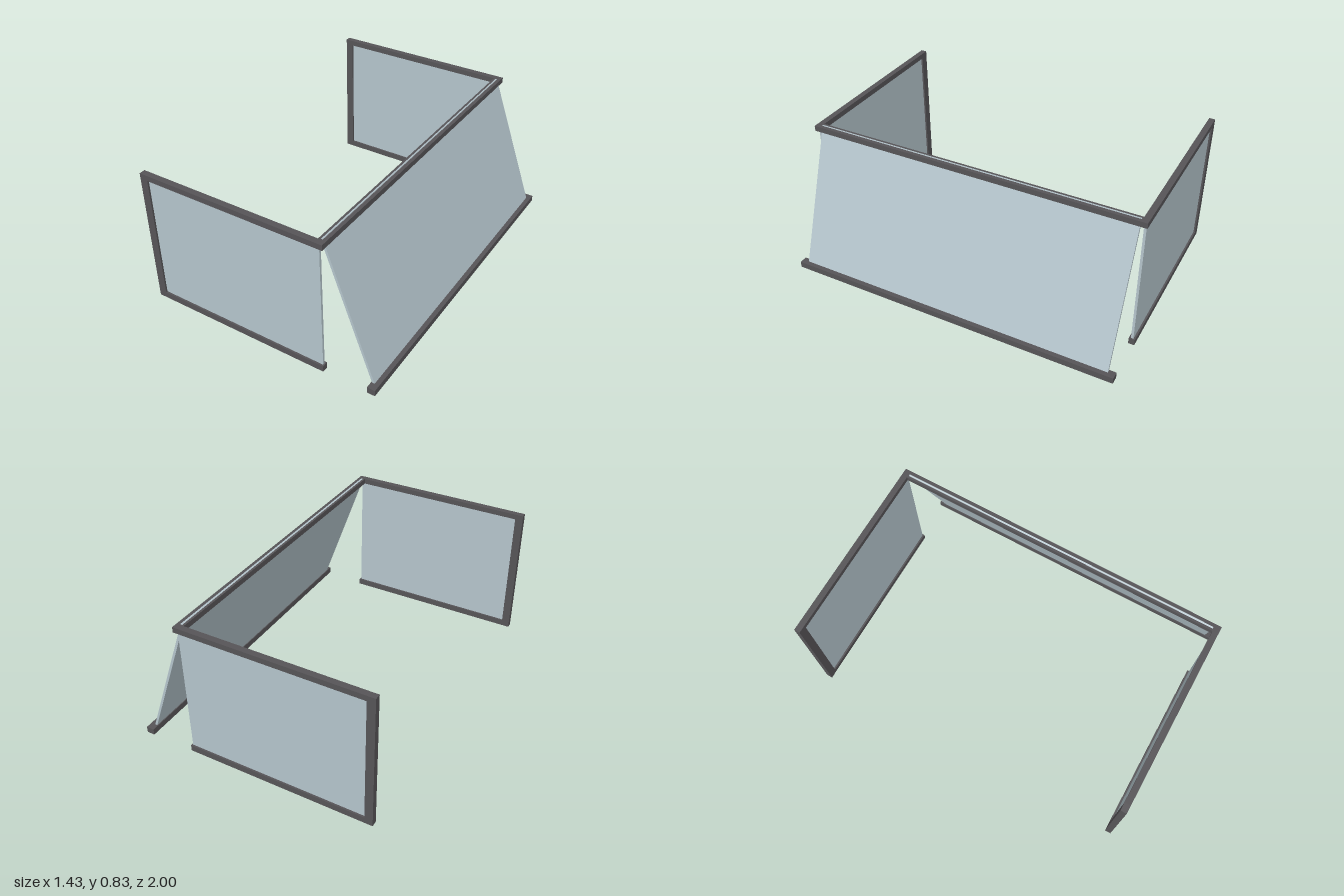
import * as THREE from 'three';

const frameMat = new THREE.MeshStandardMaterial({ color: 0x565457 });
frameMat.name = 'dark grey frame';
const glassMat = new THREE.MeshStandardMaterial({ color: 0xb4c4cb });
glassMat.name = 'pale blue glass';

// Box given by its minimum and maximum corners
function bar(name, mat, [x0, y0, z0], [x1, y1, z1]) {
  const mesh = new THREE.Mesh(new THREE.BoxGeometry(x1 - x0, y1 - y0, z1 - z0), mat);
  mesh.position.set((x0 + x1) / 2, (y0 + y1) / 2, (z0 + z1) / 2);
  mesh.name = name;
  return mesh;
}

// Upright end panel: post, two rails and a thin pane
function sidePanel(name, z) {
  const g = new THREE.Group();
  g.name = name;
  const h = 0.0175, t = 0.007;
  g.add(
    bar('post', frameMat, [-0.715, 0.004, -h], [-0.668, 0.828, h]),
    bar('topRail', frameMat, [-0.668, 0.796, -h], [0.376, 0.828, h]),
    bar('bottomRail', frameMat, [-0.668, 0.004, -h], [0.405, 0.041, h]),
    bar('pane', glassMat, [-0.668, 0.041, -t], [0.398, 0.796, t])
  );
  g.position.z = z;
  return g;
}

// Leaning panel: long rails with a tilted pane running right through them
function leaningPanel() {
  const g = new THREE.Group();
  g.name = 'leaningPanel';
  g.add(
    bar('ridgeRail', frameMat, [0.376, 0.796, -1], [0.421, 0.828, 1]),
    bar('footRail', frameMat, [0.667, 0.004, -1], [0.714, 0.041, 1])
  );
  const top = new THREE.Vector2(0.392, 0.829);
  const foot = new THREE.Vector2(0.694, 0.003);
  const pane = new THREE.Mesh(new THREE.BoxGeometry(0.014, top.distanceTo(foot), 1.92), glassMat);
  pane.name = 'leaningPane';
  pane.position.set((top.x + foot.x) / 2, (top.y + foot.y) / 2, 0);
  pane.rotation.z = Math.atan2(foot.x - top.x, top.y - foot.y);
  g.add(pane);
  return g;
}

export function createModel() {
  const model = new THREE.Group();
  model.name = 'glassScreen';
  model.add(
    sidePanel('frontPanel', 0.9825),
    sidePanel('backPanel', -0.9825),
    leaningPanel()
  );
  return model;
}
